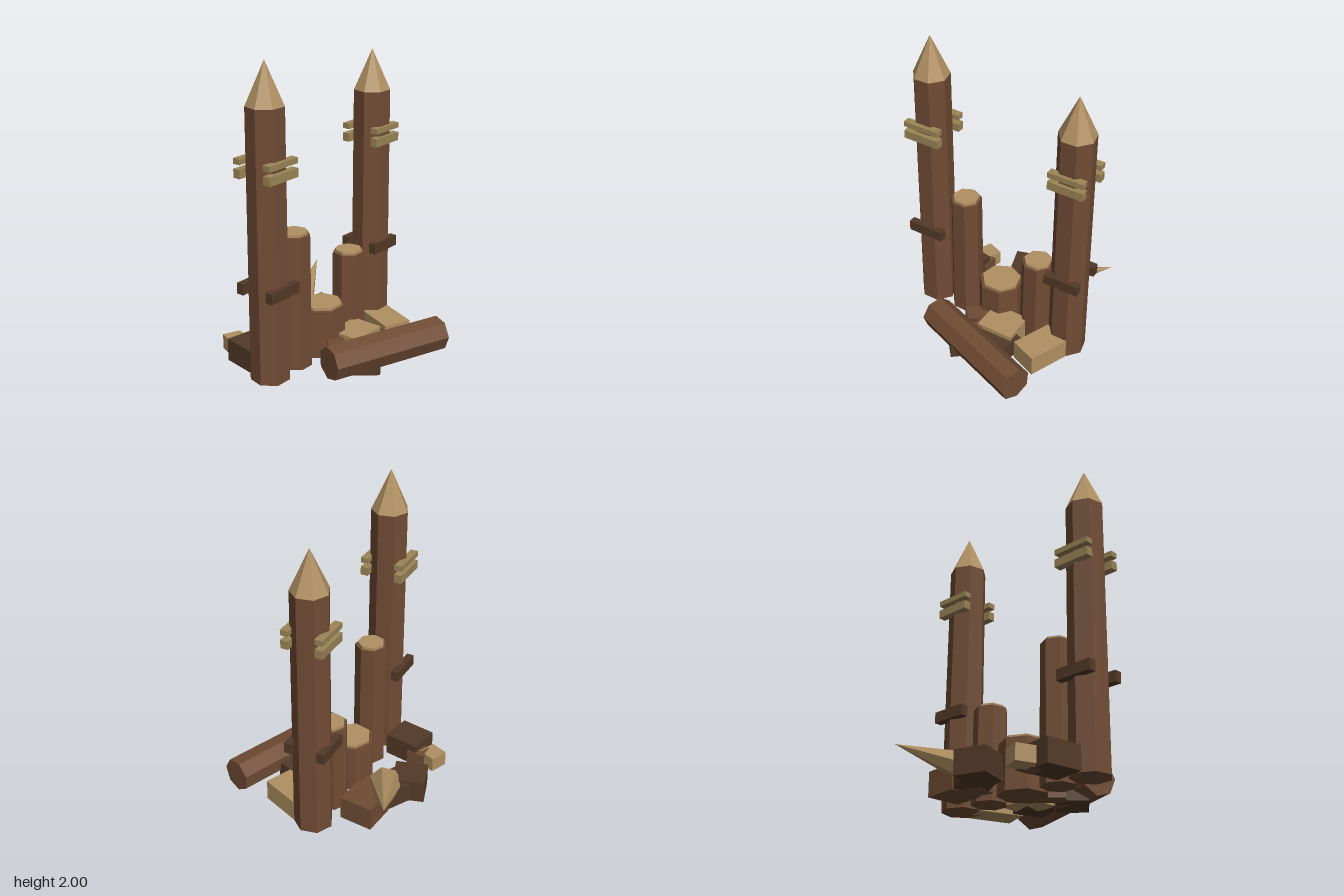
import * as THREE from 'three';

const mat = (color) => new THREE.MeshStandardMaterial({ color, flatShading: true });

export function createModel() {
  const model = new THREE.Group();
  const brown = mat(0x704c34), dark = mat(0x543a28), tan = mat(0xb09062), rope = mat(0x9c8658);
  const SIDES = 7, ROW_Z = -0.08;

  function add(name, geometry, material, x, y, z, parent = model) {
    const mesh = new THREE.Mesh(geometry, material);
    mesh.name = name;
    mesh.position.set(x, y, z);
    parent.add(mesh);
    return mesh;
  }

  // Upright seven-sided trunk, one corner towards the back
  function trunk(name, x, rBottom, rTop, height) {
    const g = new THREE.CylinderGeometry(rTop, rBottom, height, SIDES);
    add(name, g.rotateY(Math.PI), brown, x, height / 2, ROW_Z);
  }

  // Tall sharpened posts with lashing strips in front and behind
  for (const [side, x, height, tip, front, back] of [
    ['right', -0.508, 1.735, 2.0, 0.033, -0.2],
    ['left', 0.51, 1.65, 1.91, 0.026, -0.196],
  ]) {
    trunk(side + 'Post', x, 0.125, 0.119, height);
    const cone = new THREE.ConeGeometry(0.119, tip - height, SIDES).rotateY(Math.PI);
    add(side + 'PostPoint', cone, tan, x, (tip + height) / 2, ROW_Z);
    for (const z of [front, back]) {
      for (const [name, y, h, m] of [
        ['UpperLashing', 1.407, 0.035, rope],
        ['LowerLashing', 1.332, 0.055, rope],
        ['Brace', 0.605, 0.07, dark],
      ]) add(side + name, new THREE.BoxGeometry(side === 'right' ? 0.25 : 0.237, h, 0.05), m, x, y, z);
    }
  }

  // Broken stumps with pale cut tops
  for (const [name, x, r, height, capR] of [
    ['rightStump', -0.27, 0.108, 0.885, 0.087],
    ['middleStump', 0, 0.157, 0.32, 0.129],
    ['leftStump', 0.275, 0.112, 0.602, 0.09],
  ]) {
    trunk(name, x, r, r * 0.95, height);
    const cap = new THREE.CylinderGeometry(capR, capR, 0.04, SIDES).rotateY(Math.PI);
    add(name + 'Cut', cap, tan, x, height - 0.002, ROW_Z);
  }

  // Fallen log lying across the front
  const log = new THREE.CylinderGeometry(0.111, 0.111, 0.84, SIDES);
  log.rotateZ(-Math.PI / 2).rotateX(THREE.MathUtils.degToRad(34.3 - 360 / 7 * 1.75 + 90 / 7 * 7 - 90));
  log.rotateX(logRoll(log));
  const fallen = add('fallenLog', log, brown, 0.08, 0.115, 0.372);
  fallen.rotation.y = -0.346;

  // Broken point lying on the rubble, aimed up and back
  const base = new THREE.Vector3(0.08, 0.1, -0.37), tip = new THREE.Vector3(0.565, 0.32, -0.59);
  const dir = tip.clone().sub(base);
  const spike = add('brokenPoint', new THREE.ConeGeometry(0.11, dir.length(), SIDES), tan, 0, 0, 0);
  spike.position.copy(base).addScaledVector(dir, 0.5);
  spike.quaternion.setFromUnitVectors(new THREE.Vector3(0, 1, 0), dir.normalize());

  // Rubble blocks: x, z, width, height, depth, turn, material
  const rubble = new THREE.Group();
  rubble.name = 'rubble';
  model.add(rubble);
  for (const [x, z, w, h, d, turn, m] of [
    [0.125, 0.1, 0.25, 0.15, 0.22, 0, tan],
    [0.426, 0.125, 0.19, 0.14, 0.28, -0.38, tan],
    [0.15, 0.2, 0.24, 0.12, 0.2, -0.35, dark],
    [-0.065, 0.09, 0.17, 0.13, 0.11, 0.75, brown],
    [-0.07, 0.275, 0.2, 0.12, 0.26, 0.7, dark],
    [-0.01, 0.26, 0.12, 0.14, 0.12, 0.5, brown],
    [-0.04, -0.49, 0.2, 0.152, 0.21, 0.3, dark],
    [0.06, -0.41, 0.21, 0.13, 0.2, -0.5, dark],
    [0.145, -0.325, 0.15, 0.12, 0.15, 0.25, brown],
    [0.305, -0.335, 0.22, 0.155, 0.22, -0.09, brown],
    [-0.425, -0.31, 0.21, 0.15, 0.235, -0.17, dark],
    [-0.375, -0.505, 0.122, 0.1, 0.124, -0.38, tan],
    [-0.35, -0.41, 0.11, 0.1, 0.115, -0.05, brown],
  ]) add('rubbleBlock', new THREE.BoxGeometry(w, h, d), m, x, h / 2, z, rubble).rotation.y = turn;

  return model;
}

// Roll that brings a log's corner to 34 degrees forward of straight up
function logRoll(geometry) {
  const p = geometry.attributes.position;
  return THREE.MathUtils.degToRad(34.3) - Math.atan2(p.getZ(0), p.getY(0));
}
